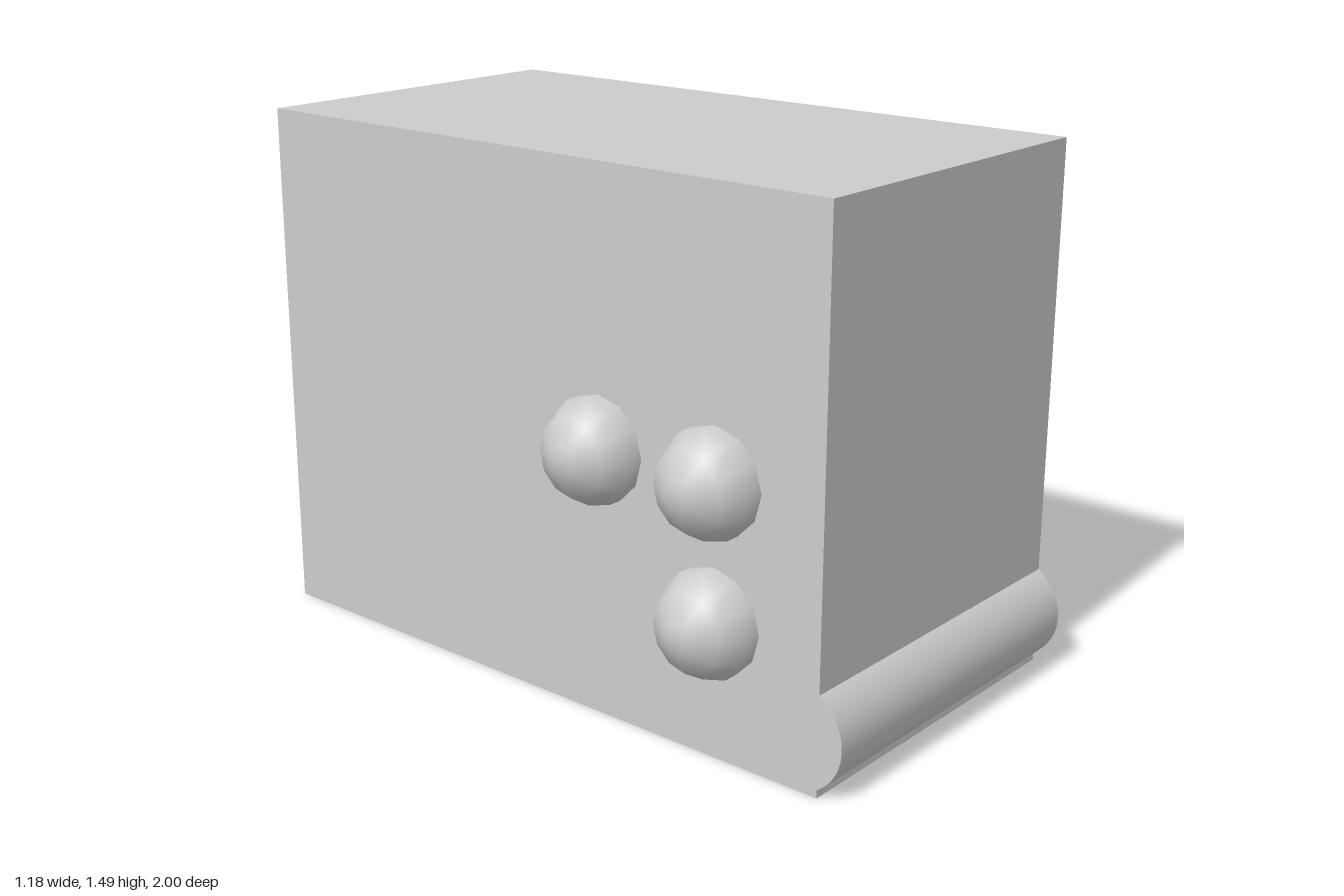
import * as THREE from 'three';

export function createModel() {
  const model = new THREE.Group();
  const grey = new THREE.MeshStandardMaterial({ color: 0xcccccc });
  grey.name = 'light grey';

  const add = (name, geometry, x, y, z) => {
    const mesh = new THREE.Mesh(geometry, grey);
    mesh.name = name;
    mesh.position.set(x, y, z);
    model.add(mesh);
    return mesh;
  };

  // Main block
  const width = 1.04, height = 1.49, depth = 1.93;
  const centreX = 0.07, sideX = centreX - width / 2;
  add('body', new THREE.BoxGeometry(width, height, depth), centreX, height / 2, -0.035);

  // Roller sunk into the lower front edge, flush with both sides
  const roller = new THREE.CylinderGeometry(0.15, 0.15, width, 64).rotateZ(Math.PI / 2);
  add('frontRoller', roller, centreX, 0.15, 0.85);

  // Domed knobs on the right side: rings at 15, 45 and 75 degrees with a flat tip
  const profile = [new THREE.Vector2(0.15 * Math.cos(Math.PI / 12), -0.03)];
  for (const degrees of [15, 45, 75]) {
    const a = THREE.MathUtils.degToRad(degrees);
    profile.push(new THREE.Vector2(0.15 * Math.cos(a), 0.15 * Math.sin(a)));
  }
  profile.push(new THREE.Vector2(0, 0.15 * Math.cos(Math.PI / 12)));
  const knob = new THREE.LatheGeometry(profile, 12).rotateZ(Math.PI / 2);

  const knobs = [
    ['upperFrontKnob', 0.745, 0.6],
    ['lowerFrontKnob', 0.375, 0.6],
    ['upperRearKnob', 0.745, 0.22],
  ];
  for (const [name, y, z] of knobs) add(name, knob, sideX, y, z);

  return model;
}
